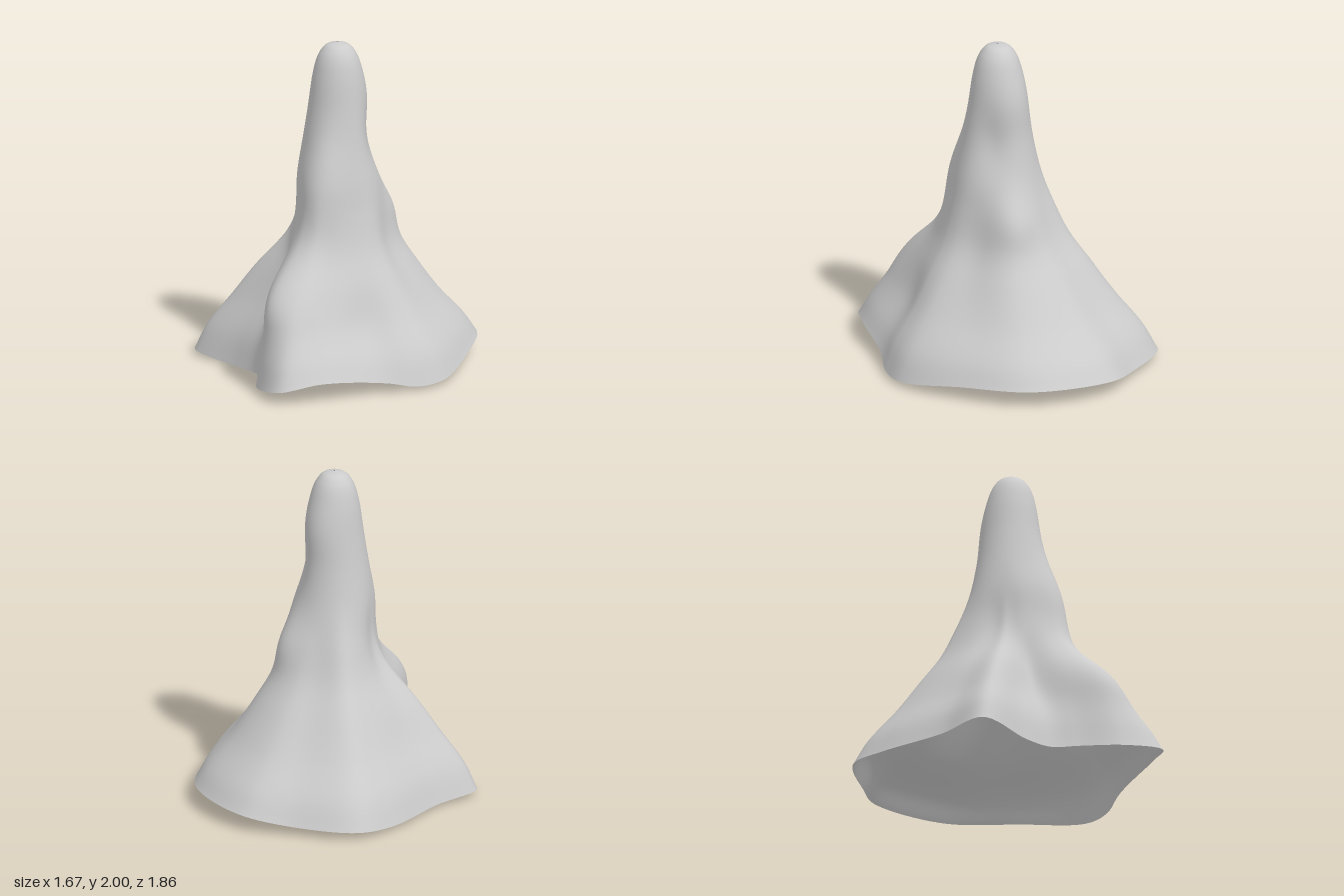
import * as THREE from 'three';

const CENTRE_X = 0.03;
const SEGMENTS = 144, ROWS = 112;

// Open hem: angle in degrees (from +x towards +z), radius, height
const HEM = [
  [0, 0.78, 0.09], [30, 0.785, 0.035], [45, 0.755, 0.03], [60, 0.72, 0.07],
  [90, 0.85, 0.12], [105, 0.95, 0.08], [120, 0.81, 0.04], [135, 0.61, 0.03],
  [150, 0.545, 0.01], [168, 0.62, 0.005], [187, 0.875, 0.035], [210, 0.755, 0.03],
  [240, 0.86, 0.03], [256, 0.955, 0.05], [280, 0.91, 0.06], [300, 0.96, 0.1], [330, 0.9, 0.11],
];

// Profile from hem to rounded tip: mean radius, height, share of the hem's waviness (0 on the neck)
const PROFILE = [
  [0.78, 0.05, 1], [0.715, 0.2, 0.88], [0.58, 0.4, 0.67], [0.47, 0.6, 0.4],
  [0.36, 0.8, 0.2], [0.295, 1, 0.1], [0.25, 1.2], [0.21, 1.4], [0.178, 1.6],
  [0.15, 1.8], [0.125, 1.9], [0.1, 1.95], [0.066, 1.985], [0.006, 2],
];

// Folds: centre angle and height, angular and vertical spread, depth
const FOLDS = [
  { angle: 122, y: 0.53, spread: 20, rise: 0.25, depth: 0.16 }, // front ridge
  { angle: 158, y: 0.6, spread: 14, rise: 0.2, depth: -0.045 }, // valley beside it
  { angle: 106, y: 1.18, spread: 30, rise: 0.25, depth: 0.06 }, // front swelling
  { angle: 70, y: 0.32, spread: 15, rise: 0.22, depth: -0.03 }, // front valley
  { angle: 10, y: 0.68, spread: 28, rise: 0.3, depth: -0.06 }, // hollow at +x
  { angle: 355, y: 1.4, spread: 34, rise: 0.2, depth: -0.037 }, // neck hollow at +x
  { angle: 325, y: 0.95, spread: 22, rise: 0.16, depth: 0.045 }, // back shoulder
  { angle: 192, y: 0.9, spread: 28, rise: 0.25, depth: -0.075 }, // hollow at -x
  { angle: 256, y: 0.75, spread: 16, rise: 0.35, depth: 0.03 }, // back ridge
  { angle: 305, y: 1.66, spread: 50, rise: 0.17, depth: 0.025 }, // neck swelling
];

function foldDepth(degrees, y) {
  return FOLDS.reduce((sum, fold) => {
    const turn = THREE.MathUtils.euclideanModulo(degrees - fold.angle + 180, 360) - 180;
    return sum + fold.depth * Math.exp(-((turn / fold.spread) ** 2) - ((y - fold.y) / fold.rise) ** 2);
  }, 0);
}

// Sweep the profile around the hem, fading its waves and adding the folds
function drapedGeometry() {
  const hem = new THREE.CatmullRomCurve3(HEM.map(([degrees, radius, y]) => {
    const a = THREE.MathUtils.degToRad(degrees);
    return new THREE.Vector3(radius * Math.cos(a), y, radius * Math.sin(a));
  }), true);
  const profile = new THREE.CatmullRomCurve3(PROFILE.map((p) => new THREE.Vector3(...p))).getPoints(ROWS);
  const [base] = profile;
  const positions = [], indices = [];

  for (let i = 0; i < SEGMENTS; i++) {
    const edge = hem.getPoint(i / SEGMENTS);
    const angle = Math.atan2(edge.z, edge.x);
    const wave = Math.hypot(edge.x, edge.z) - base.x;
    for (const { x: radius, y, z: waviness } of profile) {
      const r = radius + waviness * wave + foldDepth(THREE.MathUtils.radToDeg(angle), y);
      const lift = (edge.y - base.y) * Math.max(0, 1 - (y - base.y) / 0.4) ** 2;
      positions.push(CENTRE_X + r * Math.cos(angle), y + lift, r * Math.sin(angle));
    }
  }
  for (let i = 0; i < SEGMENTS; i++) {
    for (let j = 0; j < ROWS; j++) {
      const a = i * (ROWS + 1) + j;
      const b = ((i + 1) % SEGMENTS) * (ROWS + 1) + j;
      indices.push(a, a + 1, b, b, a + 1, b + 1);
    }
  }
  const geometry = new THREE.BufferGeometry();
  geometry.setAttribute('position', new THREE.Float32BufferAttribute(positions, 3));
  geometry.setIndex(indices);
  geometry.computeVertexNormals();
  return geometry;
}

export function createModel() {
  const group = new THREE.Group();
  group.name = 'drapedCone';
  const material = new THREE.MeshStandardMaterial({ color: 0xcccccc, side: THREE.DoubleSide });
  const cloth = new THREE.Mesh(drapedGeometry(), material);
  cloth.name = 'drapedCloth';
  group.add(cloth);
  return group;
}
